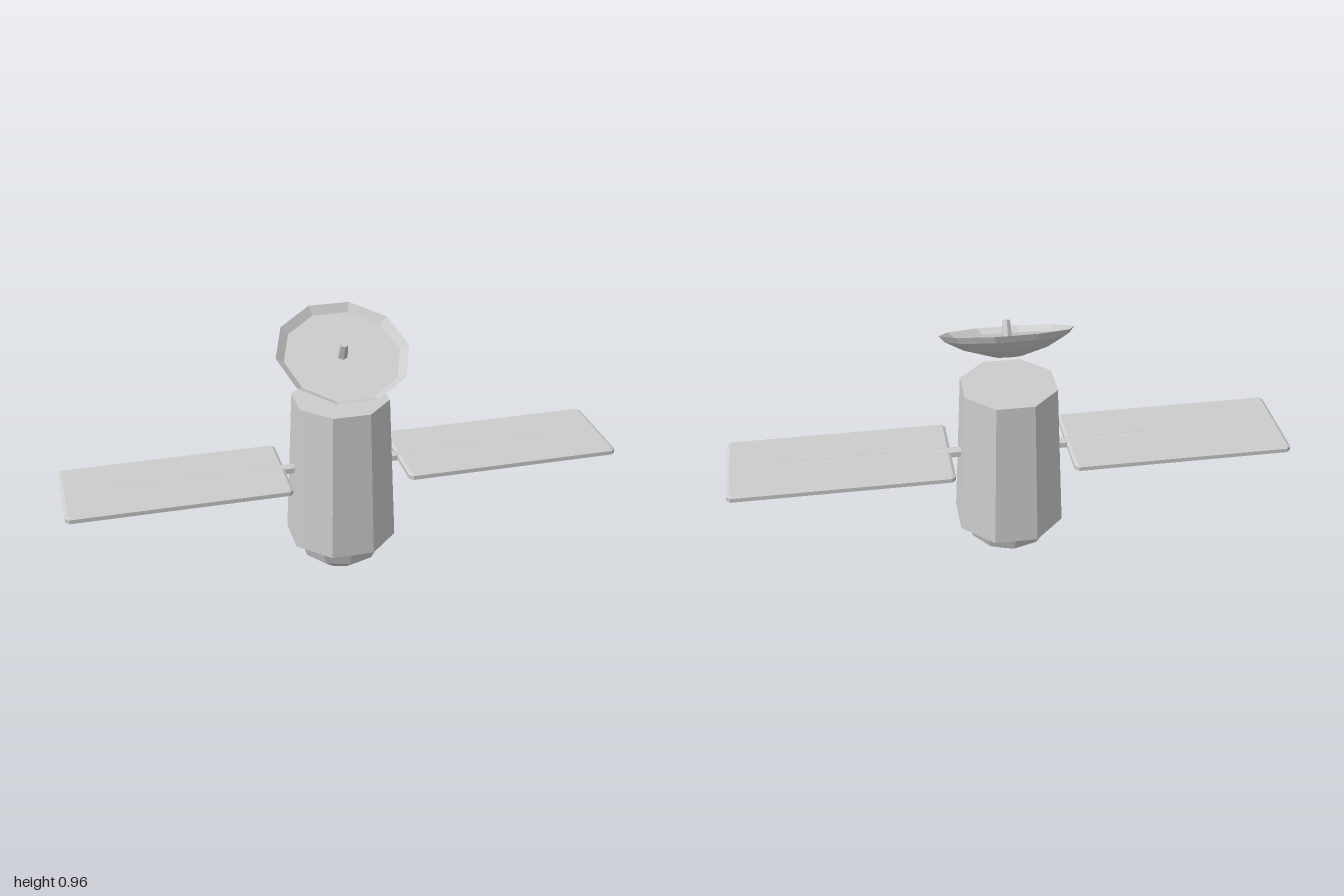
import * as THREE from 'three';

const AXIS_Z = -0.027; // body axis, set slightly back to balance the tilted dish

export function createModel() {
  const satellite = new THREE.Group();
  satellite.name = 'satellite';
  const grey = new THREE.MeshStandardMaterial({ color: 0xcccccc, flatShading: true });
  grey.name = 'lightGrey';

  const add = (parent, name, geometry, x = 0, y = 0, z = 0) => {
    const mesh = new THREE.Mesh(geometry, grey);
    mesh.name = name;
    mesh.position.set(x, y, z);
    parent.add(mesh);
    return mesh;
  };
  // Ten-sided lathe from [radius, height] pairs
  const lathe = (profile, phi = 0) =>
    new THREE.LatheGeometry(profile.map(([r, y]) => new THREE.Vector2(r, y)), 10, phi);

  // Tapered octagonal body
  add(satellite, 'body',
    new THREE.CylinderGeometry(0.176, 0.201, 0.55, 8, 1, false, Math.PI / 8), 0, 0.405, AXIS_Z);

  // Faceted dome below the body
  add(satellite, 'bottomDome',
    lathe([[0, 0], [0.084, 0.018], [0.146, 0.066], [0.168, 0.132]]), 0, 0, AXIS_Z);

  // Solar panels: bevelled slabs with clipped corners
  const bevel = 0.01, hx = 0.394 - bevel, hz = 0.175 - bevel, cut = 0.008;
  const outline = new THREE.Shape([
    [-hx + cut, -hz], [hx - cut, -hz], [hx, -hz + cut], [hx, hz - cut],
    [hx - cut, hz], [-hx + cut, hz], [-hx, hz - cut], [-hx, -hz + cut],
  ].map(([x, y]) => new THREE.Vector2(x, y)));
  const panel = new THREE.ExtrudeGeometry(outline, {
    depth: 0.015, bevelEnabled: true, bevelThickness: 0.006, bevelSize: bevel, bevelSegments: 1,
  });
  panel.center();
  panel.rotateX(-Math.PI / 2);

  // Hexagonal boom with a flat top, running through each panel
  const boom = new THREE.CylinderGeometry(0.02, 0.02, 0.66, 6, 1, false);
  boom.rotateZ(Math.PI / 2);

  for (const [side, s] of [['left', 1], ['right', -1]]) {
    add(satellite, side + 'SolarPanel', panel, s * 0.604, 0.413, AXIS_Z);
    add(satellite, side + 'Boom', boom, s * 0.49, 0.413, AXIS_Z).rotation.x = Math.PI / 6;
  }

  // Tilted dish with a flared rim, flat floor and central feed
  const dish = new THREE.Group();
  dish.name = 'dish';
  dish.position.set(0, 0.87, 0.01);
  dish.rotation.x = 0.435;
  satellite.add(dish);
  add(dish, 'dishBowl', lathe([
    [0, -0.087], [0.05, -0.087], [0.154, -0.056], [0.217, -0.022],
    [0.237, 0], [0.207, -0.022], [0, -0.022],
  ], Math.PI / 2));
  add(dish, 'dishFeed', new THREE.CylinderGeometry(0.014, 0.019, 0.062, 6), 0, 0.007, 0);

  return satellite;
}
